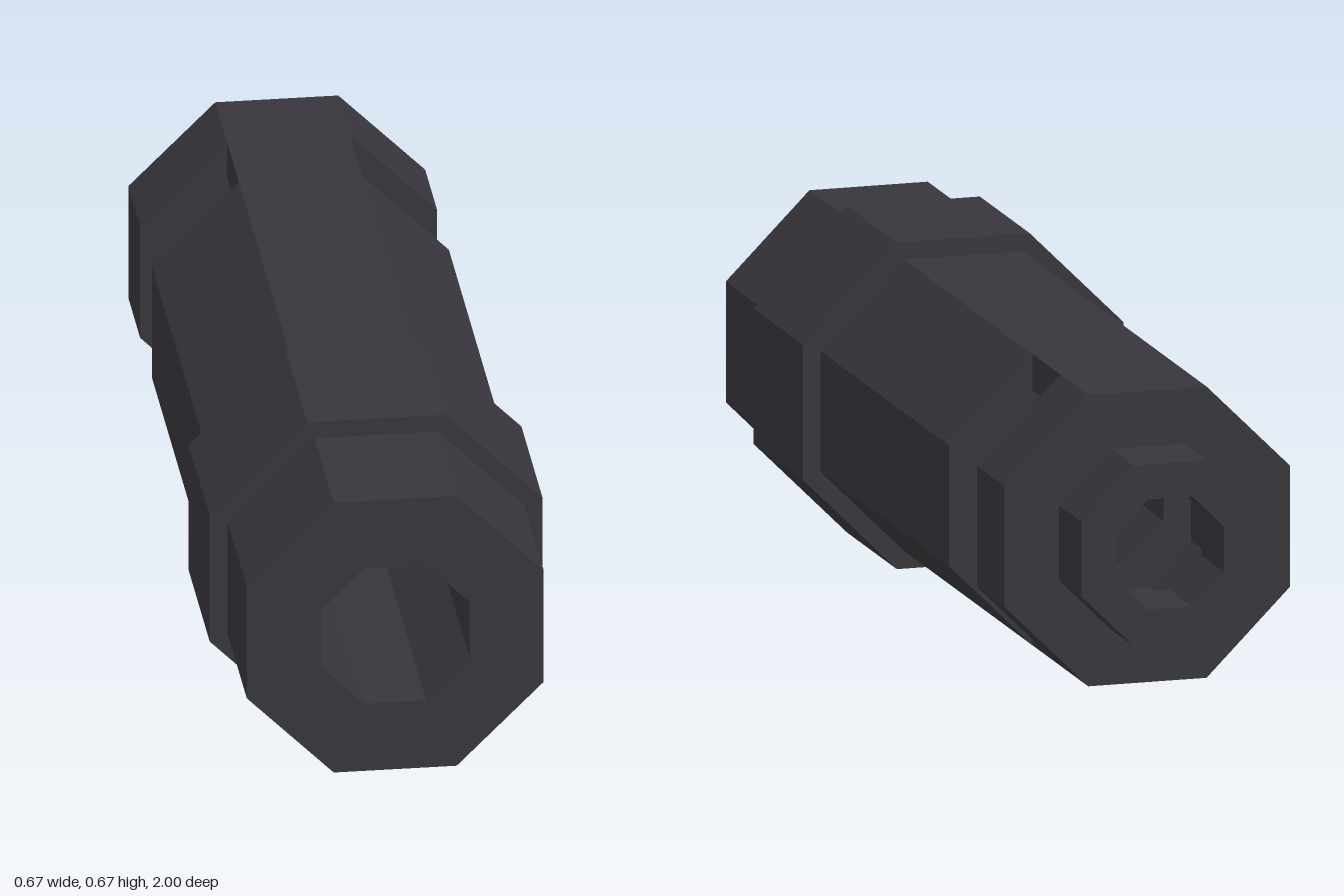
import * as THREE from 'three';

const AXIS_Y = 0.333;

// Octagon with flat sides up, down, left and right, sized by its half-width
function octagon(PathType, halfWidth) {
  const r = halfWidth / Math.cos(Math.PI / 8);
  const points = [];
  for (let i = 0; i < 8; i++) {
    const a = Math.PI / 8 + (i * Math.PI) / 4;
    points.push(new THREE.Vector2(r * Math.cos(a), r * Math.sin(a)));
  }
  return new PathType(points);
}

export function createModel() {
  const group = new THREE.Group();
  const darkMetal = new THREE.MeshStandardMaterial({ color: 0x38363c, flatShading: true });
  darkMetal.name = 'darkMetal';

  function add(name, geometry, y, z) {
    const mesh = new THREE.Mesh(geometry, darkMetal);
    mesh.name = name;
    mesh.position.set(0, y, z);
    group.add(mesh);
  }

  // Hollow octagonal tube running from zBack to zFront
  function tube(name, outer, inner, zBack, zFront) {
    const shape = octagon(THREE.Shape, outer);
    shape.holes.push(octagon(THREE.Path, inner));
    const geometry = new THREE.ExtrudeGeometry(shape, { depth: zFront - zBack, bevelEnabled: false });
    add(name, geometry, AXIS_Y, zBack);
  }

  tube('mainBarrel', 0.297, 0.149, -0.48, 1);
  tube('collar', 0.333, 0.297, 0.372, 0.702);
  tube('rearSection', 0.297, 0.149, -0.85, -0.665);
  tube('rearNozzle', 0.184, 0.112, -1, -0.85);

  // Flat bridges above and below the open slot
  for (const side of [1, -1]) {
    const name = side > 0 ? 'upperBridge' : 'lowerBridge';
    add(name, new THREE.BoxGeometry(0.246, 0.074, 0.185), AXIS_Y + side * 0.26, -0.5725);
  }
  return group;
}
